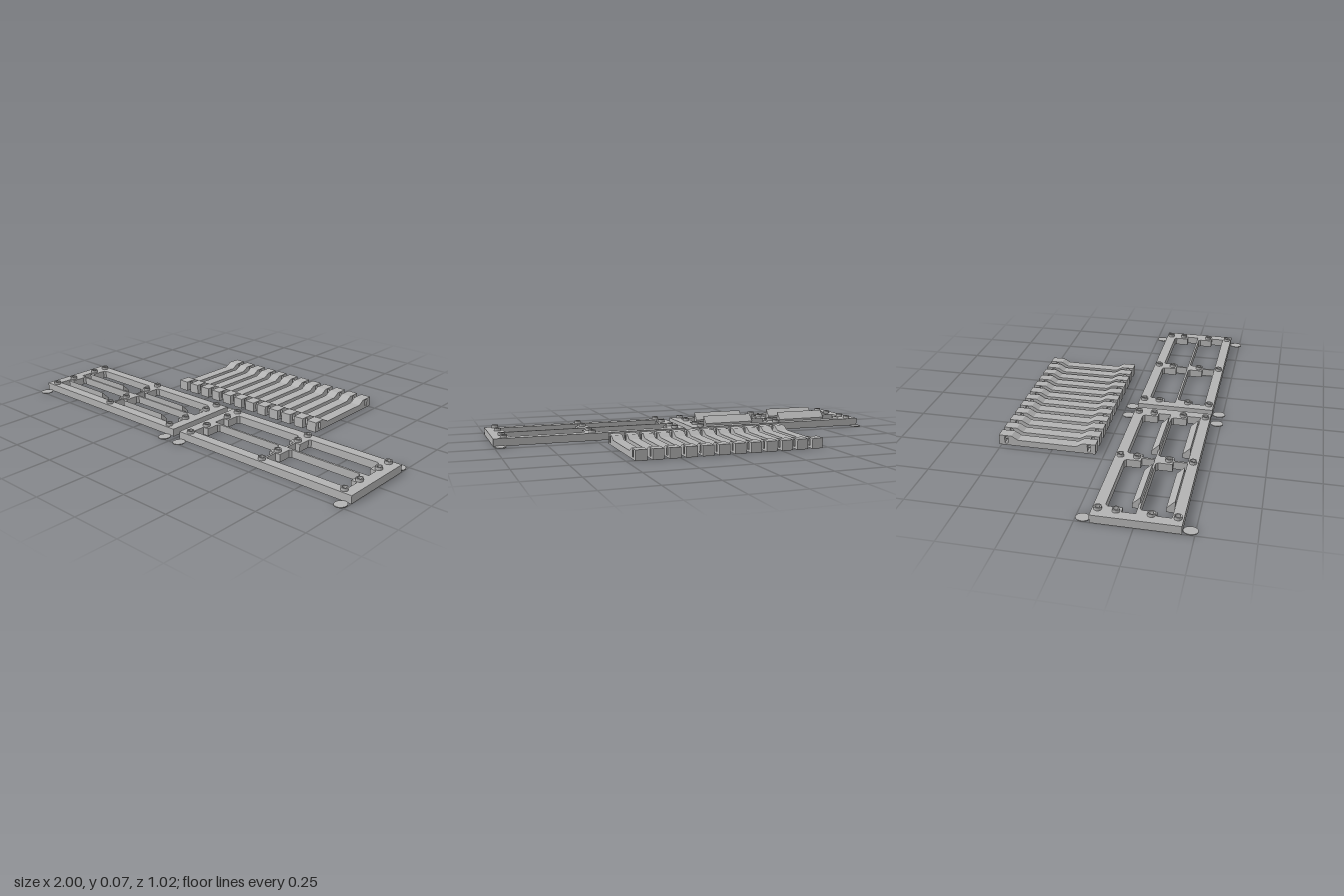
import * as THREE from 'three';

const TOP = 0.038; // thickness of the tray frames

function toShape(points) {
  return new THREE.Shape(points.map(([x, y]) => new THREE.Vector2(x, y)));
}

// Extrude a shape drawn in x/z so that it stands from y0 to y1
function slab(shape, y0, y1) {
  const g = new THREE.ExtrudeGeometry(shape, { depth: y1 - y0, bevelEnabled: false, curveSegments: 8 });
  return g.rotateX(Math.PI / 2).translate(0, y1, 0);
}

// Extrude a profile drawn in z/y along x, centred on x = 0
function prism(shape, width) {
  const g = new THREE.ExtrudeGeometry(shape, { depth: width, bevelEnabled: false });
  return g.rotateY(-Math.PI / 2).translate(width / 2, 0, 0);
}

// Arched eyelet: half circle towards the back, flat towards the front
function eyelet(x, z) {
  const p = new THREE.Path();
  p.moveTo(x + 0.01, z + 0.009);
  p.lineTo(x - 0.01, z + 0.009);
  p.lineTo(x - 0.01, z - 0.002);
  p.absarc(x, z - 0.002, 0.01, Math.PI, Math.PI * 2, false);
  p.closePath();
  return p;
}

// Opening of the frame with gussets in both corners at its back edge
function opening(side, z0, zStep, z1) {
  const pts = [
    [0.44, z1], [0.44, zStep], [0.41, zStep], [0.41, z0 + 0.01], [0.4, z0],
    [0.04, z0], [0.03, z0 + 0.01], [0.03, zStep], [0.005, zStep], [0.005, z1],
  ];
  return new THREE.Path(pts.map(([x, z]) => new THREE.Vector2(x * side, z)));
}

export function createModel() {
  const model = new THREE.Group();
  model.name = 'trayFramesAndBars';
  const grey = new THREE.MeshStandardMaterial({ color: 0xb3b3b3 });
  grey.name = 'grey plastic';

  const add = (parent, name, geometry, x = 0, y = 0, z = 0) => {
    const mesh = new THREE.Mesh(geometry, grey);
    mesh.name = name;
    mesh.position.set(x, y, z);
    parent.add(mesh);
    return mesh;
  };

  // Frame plate: rails, thin ribs and gussets in one shape
  const pegX = [-0.438, 0, 0.438];
  const pegZ = [0.09, 0.167, 0.314, 0.424];
  const plate = toShape([[-0.49, 0.065], [0.49, 0.065], [0.49, 0.448], [-0.49, 0.448]]);
  for (const side of [-1, 1]) {
    plate.holes.push(opening(side, 0.115, 0.19, 0.25));
    plate.holes.push(opening(side, 0.26, 0.335, 0.4));
  }
  for (const x of pegX) for (const z of pegZ) plate.holes.push(eyelet(x, z));
  const plateGeometry = slab(plate, 0, TOP);

  // Hollow peg
  const pegShape = new THREE.Shape();
  pegShape.absarc(0, 0, 0.017, 0, Math.PI * 2, false);
  pegShape.holes.push(eyelet(0, 0));
  const pegGeometry = slab(pegShape, TOP, 0.052);

  // Thin oval foot pad
  const padGeometry = new THREE.CylinderGeometry(1, 1, 0.004, 20);
  padGeometry.scale(0.028, 1, 0.032);

  for (const side of [-1, 1]) {
    const frame = new THREE.Group();
    frame.name = side < 0 ? 'rightFrame' : 'leftFrame';
    frame.position.x = side * 0.51;
    model.add(frame);
    add(frame, 'framePlate', plateGeometry);
    for (const x of pegX) for (const z of pegZ) add(frame, 'peg', pegGeometry, x, 0, z);
    for (const x of [-0.461, 0.461]) {
      for (const z of [0.032, 0.48]) add(frame, 'footPad', padGeometry, x, 0.002, z);
    }
  }

  // Sloped ledges of the right frame
  const ledge = toShape([[0, 0.067], [-0.037, 0.03], [-0.037, 0.01], [0, 0.01]]);
  const ledgeGeometry = prism(ledge, 0.275);
  for (const x of [-0.735, -0.29]) {
    for (const z of [0.255, 0.4]) add(model, 'slopedLedge', ledgeGeometry, x, 0, z);
  }

  // Cross bars with raised ends and a slot through each end
  const barShape = toShape([
    [-0.512, 0], [-0.04, 0], [-0.04, 0.05], [-0.102, 0.05],
    [-0.135, 0.031], [-0.417, 0.031], [-0.45, 0.05], [-0.512, 0.05],
  ]);
  const slotZ = [-0.071, -0.476];
  for (const z of slotZ) {
    barShape.holes.push(new THREE.Path([
      [z - 0.008, 0.01], [z - 0.008, 0.044], [z + 0.008, 0.044], [z + 0.008, 0.01],
    ].map(([a, b]) => new THREE.Vector2(a, b))));
  }
  const barGeometry = prism(barShape, 0.054);
  const stopGeometry = new THREE.BoxGeometry(0.03, 0.016, 0.016);
  for (let i = 0; i < 12; i++) {
    const bar = new THREE.Group();
    bar.name = 'crossBar';
    bar.position.x = -0.438 + i * 0.0792;
    model.add(bar);
    add(bar, 'barBody', barGeometry);
    for (const z of slotZ) add(bar, 'slotStop', stopGeometry, 0, 0.036, z);
  }

  return model;
}
